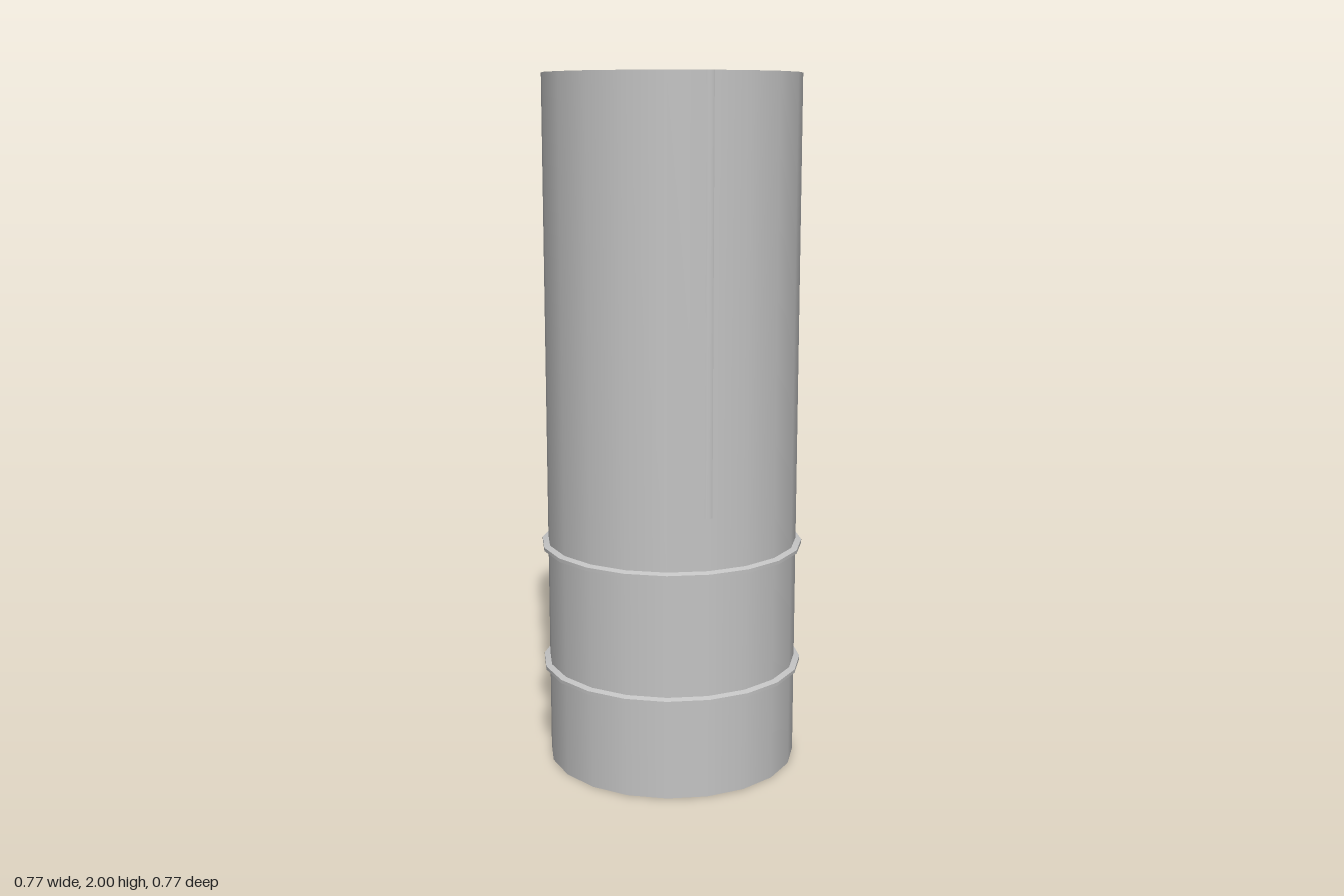
import * as THREE from 'three';

const SIDES = 20;
const R = 0.366;        // shell radius
const BEAD_R = 0.383;   // radius of the raised beads
const BEADS = [0.29, 0.652];
const HALF = 0.01;      // half the bead height

export function createModel() {
  const model = new THREE.Group();
  model.name = 'tube';

  const grey = new THREE.MeshStandardMaterial({ color: 0xc4c4c4, side: THREE.DoubleSide });
  grey.name = 'grey';

  const add = (name, geometry, x = 0, y = 0, z = 0) => {
    const mesh = new THREE.Mesh(geometry, grey);
    mesh.name = name;
    mesh.position.set(x, y, z);
    model.add(mesh);
  };

  // Thin sheet turned from a profile of [radius, height] points
  const turned = (points) =>
    new THREE.LatheGeometry(points.map(([r, y]) => new THREE.Vector2(r, y)), SIDES);

  // Open shell in three lengths, parted by the beads
  const section = (name, from, to) => add(name, turned([[R, from], [R, to]]));
  section('lowerShell', 0, BEADS[0] - HALF);
  section('middleShell', BEADS[0] + HALF, BEADS[1] - HALF);
  section('upperShell', BEADS[1] + HALF, 2);

  // Hollow beads pressed outwards around the shell
  BEADS.forEach((y, i) => {
    const name = i === 0 ? 'lowerBead' : 'upperBead';
    const group = [
      [[R, -HALF], [BEAD_R, -0.005]],
      [[BEAD_R, -0.005], [BEAD_R, 0.005]],
      [[BEAD_R, 0.005], [R, HALF]],
    ];
    group.forEach((profile) => add(name, turned(profile), 0, y, 0));
  });

  // Two slim rods along the inside wall
  const bottom = 0.81, top = 2;
  const rod = new THREE.CylinderGeometry(0.025, 0.025, top - bottom, 24);
  add('frontRod', rod, 0, (top + bottom) / 2, 0.342);
  add('sideRod', rod, -0.316, (top + bottom) / 2, -0.133);

  return model;
}
